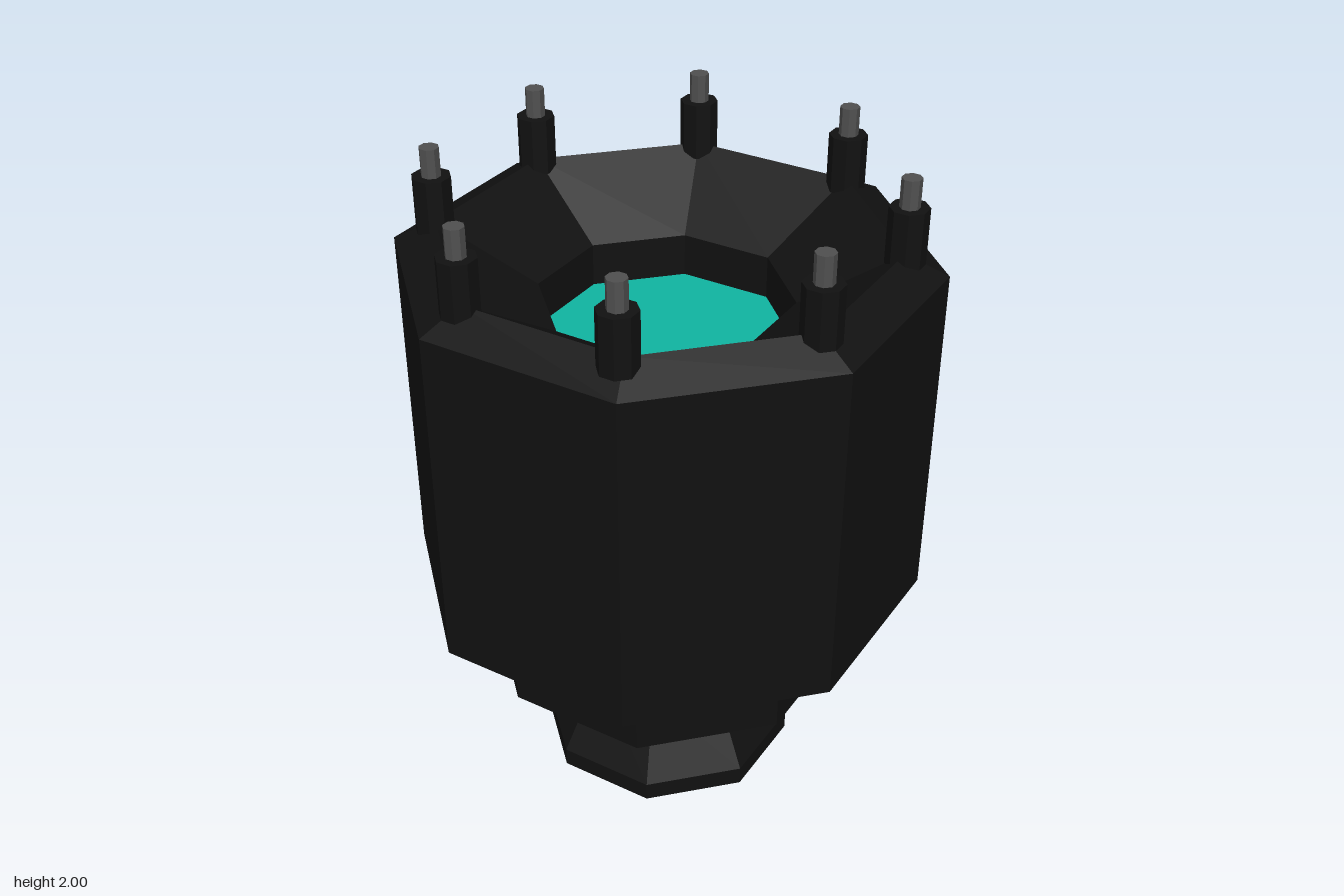
import * as THREE from 'three';

const SIDES = 8;

const mat = (color) => new THREE.MeshStandardMaterial({ color, flatShading: true });

function lathe(name, profile, material) {
  const points = profile.map(([r, y]) => new THREE.Vector2(r, y));
  const mesh = new THREE.Mesh(new THREE.LatheGeometry(points, SIDES), material);
  mesh.name = name;
  return mesh;
}

function post(name, radius, bottom, top, material) {
  const mesh = new THREE.Mesh(new THREE.CylinderGeometry(radius, radius, top - bottom, SIDES), material);
  mesh.position.y = (bottom + top) / 2;
  mesh.name = name;
  return mesh;
}

export function createModel() {
  const model = new THREE.Group();
  model.name = 'octagonalVessel';
  const black = mat(0x111111);
  const steel = mat(0x505050);
  const teal = mat(0x10b5a2);

  // Flared foot
  model.add(lathe('foot', [[0, 0], [0.4, 0], [0.4, 0.06], [0.27, 0.31]], black));

  // Stepped body, chamfered rim, sloping funnel and recessed well
  model.add(lathe('body', [
    [0.27, 0.31], [0.565, 0.375], [0.565, 0.475], [0.785, 0.665],
    [0.785, 1.715], [0.66, 1.775], [0.37, 1.6], [0.37, 1.47],
  ], black));

  // Coloured floor of the well
  const floor = new THREE.Mesh(new THREE.CircleGeometry(0.37, SIDES), teal);
  floor.rotation.x = -Math.PI / 2;
  floor.position.y = 1.47;
  floor.name = 'wellFloor';
  model.add(floor);

  // Collared pins, one at each corner of the rim
  for (let i = 0; i < SIDES; i++) {
    const angle = (i / SIDES) * Math.PI * 2;
    const pin = new THREE.Group();
    pin.name = 'rimPin';
    pin.add(post('pinCollar', 0.057, 1.745, 1.915, black));
    pin.add(post('pinTip', 0.029, 1.915, 2, steel));
    pin.position.set(Math.sin(angle) * 0.66, 0, Math.cos(angle) * 0.66);
    // the front right pin sits slightly out of line
    if (i === 7) pin.position.x -= 0.02;
    model.add(pin);
  }

  return model;
}
